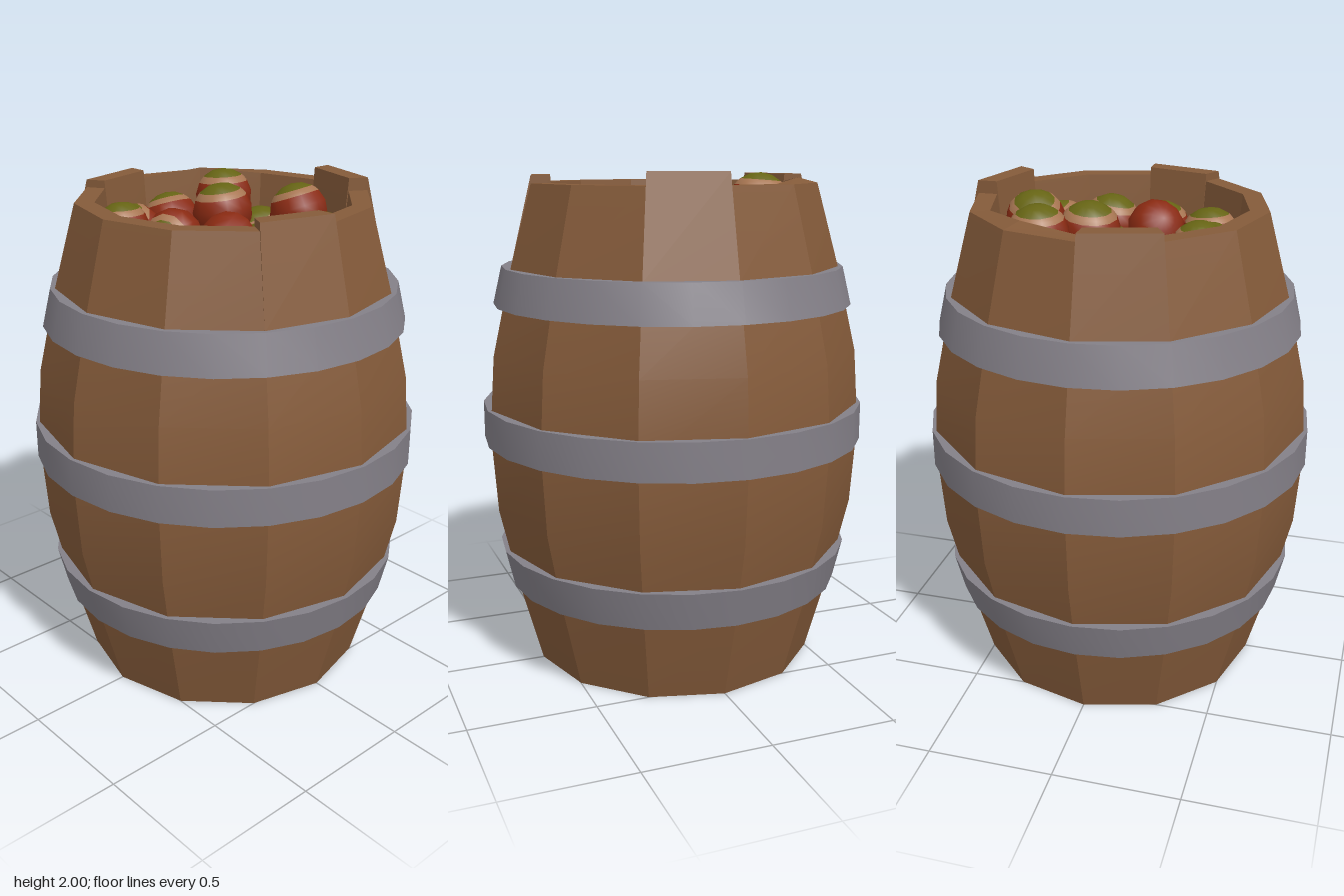
import * as THREE from 'three';
import { toCreasedNormals } from 'three/addons/utils/BufferGeometryUtils.js';

const mat = (name, color, extra = {}) =>
  Object.assign(new THREE.MeshStandardMaterial({ color, ...extra }), { name });

const STAVES = 12;
// Barrel wall rows: height, outer radius, inner radius
const ROWS = [
  [0, 0.577, 0.5], [0.33, 0.668, 0.47], [0.66, 0.744, 0.47], [0.98, 0.766, 0.47],
  [1.29, 0.744, 0.47], [1.62, 0.668, 0.47], [1.95, 0.577, 0.5],
];
// Staves whose tops stand above the others
const TALL = { 2: 2.0, 6: 1.98, 11: 1.98 };

// One stave: a box bent onto the barrel wall, smooth along its length
function staveGeometry(k) {
  const n = ROWS.length - 1;
  const g = new THREE.BoxGeometry(1, 1, 1, 1, n, 1);
  const p = g.attributes.position;
  for (let i = 0; i < p.count; i++) {
    const row = Math.round((p.getY(i) + 0.5) * n);
    const edge = k + (p.getX(i) > 0 ? 1 : 0);
    const inner = p.getZ(i) < 0;
    const a = (edge / STAVES) * Math.PI * 2;
    const r = ROWS[row][inner ? 2 : 1];
    let y = ROWS[row][0];
    if (row === n) {
      if (TALL[k]) y = TALL[k];
      else if (inner && edge === 5) y = 1.97; // worn, uneven rim
    }
    p.setXYZ(i, Math.sin(a) * r, y, Math.cos(a) * r);
  }
  g.computeVertexNormals();
  return g;
}

// Iron hoop with a sloped outer face
function hoopGeometry(y0, r0, y1, r1) {
  const inner = Math.min(r0, r1) - 0.06;
  const pts = [[inner, y0], [r0, y0], [r1, y1], [inner, y1]].map(q => new THREE.Vector2(...q));
  return toCreasedNormals(new THREE.LatheGeometry(pts, 24), 0.6);
}

// Apples: x, y, z, radius, then the direction the green crown faces
const APPLES = [
  [-0.19, 1.78, -0.33, 0.12, -0.7, 1, 0.05], [0.03, 1.8, -0.36, 0.115, 0.02, 1, -0.4],
  [0.24, 1.88, -0.27, 0.118, 0, 1, -0.08], [-0.35, 1.85, -0.19, 0.105, 0, 1, -0.08],
  [-0.13, 1.78, -0.15, 0.12, -1, 0.1, 0.35], [0.09, 1.86, -0.11, 0.122, -0.08, 1, -0.1],
  [0.34, 1.73, -0.15, 0.115, -0.3, 1, -0.1], [-0.35, 1.77, 0.02, 0.125, -0.2, 1, -0.35],
  [0.36, 1.85, 0.05, 0.12, -0.08, 1, -0.35], [0.18, 1.72, 0.05, 0.12, 0, 1, 0.15],
  [-0.11, 1.82, 0.14, 0.115, 0.4, -0.5, 0.6], [0.01, 1.7, 0.04, 0.12, -0.6, 0.4, -0.7],
  [-0.18, 1.68, 0, 0.12, -0.5, -0.4, 0], [-0.31, 1.78, 0.24, 0.118, 0.08, 1, 0.06],
  [-0.09, 1.77, 0.33, 0.12, 0, 1, -0.1], [0.13, 1.78, 0.35, 0.12, -0.2, 1, 0],
  [0.08, 1.69, 0.2, 0.115, 0, 1, 0], [0.31, 1.77, 0.23, 0.12, 0.5, 1, -0.15],
];

export function createModel() {
  const wood = mat('wood', 0x855b3a);
  const iron = mat('iron', 0x848088);
  const red = mat('appleRed', 0x8a2a12);
  const tan = mat('appleTan', 0xa87652);
  const green = mat('appleGreen', 0x666414);

  const model = new THREE.Group();
  model.name = 'appleBarrel';
  const add = (parent, name, geo, material) => {
    const m = new THREE.Mesh(geo, material);
    m.name = name;
    parent.add(m);
    return m;
  };

  // Wooden wall
  const staves = new THREE.Group();
  staves.name = 'staves';
  model.add(staves);
  for (let k = 0; k < STAVES; k++) add(staves, 'stave', staveGeometry(k), wood);

  // Recessed bottom and the board carrying the apples
  add(model, 'bottomBoard', new THREE.CylinderGeometry(0.49, 0.49, 0.04, STAVES), wood).position.y = 0.07;
  add(model, 'innerBoard', new THREE.CylinderGeometry(0.49, 0.49, 0.04, STAVES), wood).position.y = 1.56;

  // Iron hoops
  add(model, 'lowerHoop', hoopGeometry(0.33, 0.686, 0.485, 0.722), iron);
  add(model, 'middleHoop', hoopGeometry(0.925, 0.775, 1.075, 0.775), iron);
  add(model, 'upperHoop', hoopGeometry(1.475, 0.722, 1.625, 0.686), iron);

  // Apples: green crown, tan ring and red body are bands of one sphere
  const band = (t0, t1, rows) =>
    new THREE.SphereGeometry(1, 12, rows, 0, Math.PI * 2, t0, t1 - t0);
  const crown = band(0, 0.74, 2), ring = band(0.74, 1.02, 1), body = band(1.02, Math.PI, 5);
  const up = new THREE.Vector3(0, 1, 0);
  const apples = new THREE.Group();
  apples.name = 'apples';
  model.add(apples);
  for (const [x, y, z, r, dx, dy, dz] of APPLES) {
    const apple = new THREE.Group();
    apple.name = 'apple';
    add(apple, 'appleCrown', crown, green);
    add(apple, 'appleRing', ring, tan);
    add(apple, 'appleBody', body, red);
    apple.position.set(x, y, z);
    apple.scale.set(r, r * 0.94, r);
    apple.quaternion.setFromUnitVectors(up, new THREE.Vector3(dx, dy, dz).normalize());
    apples.add(apple);
  }
  return model;
}
